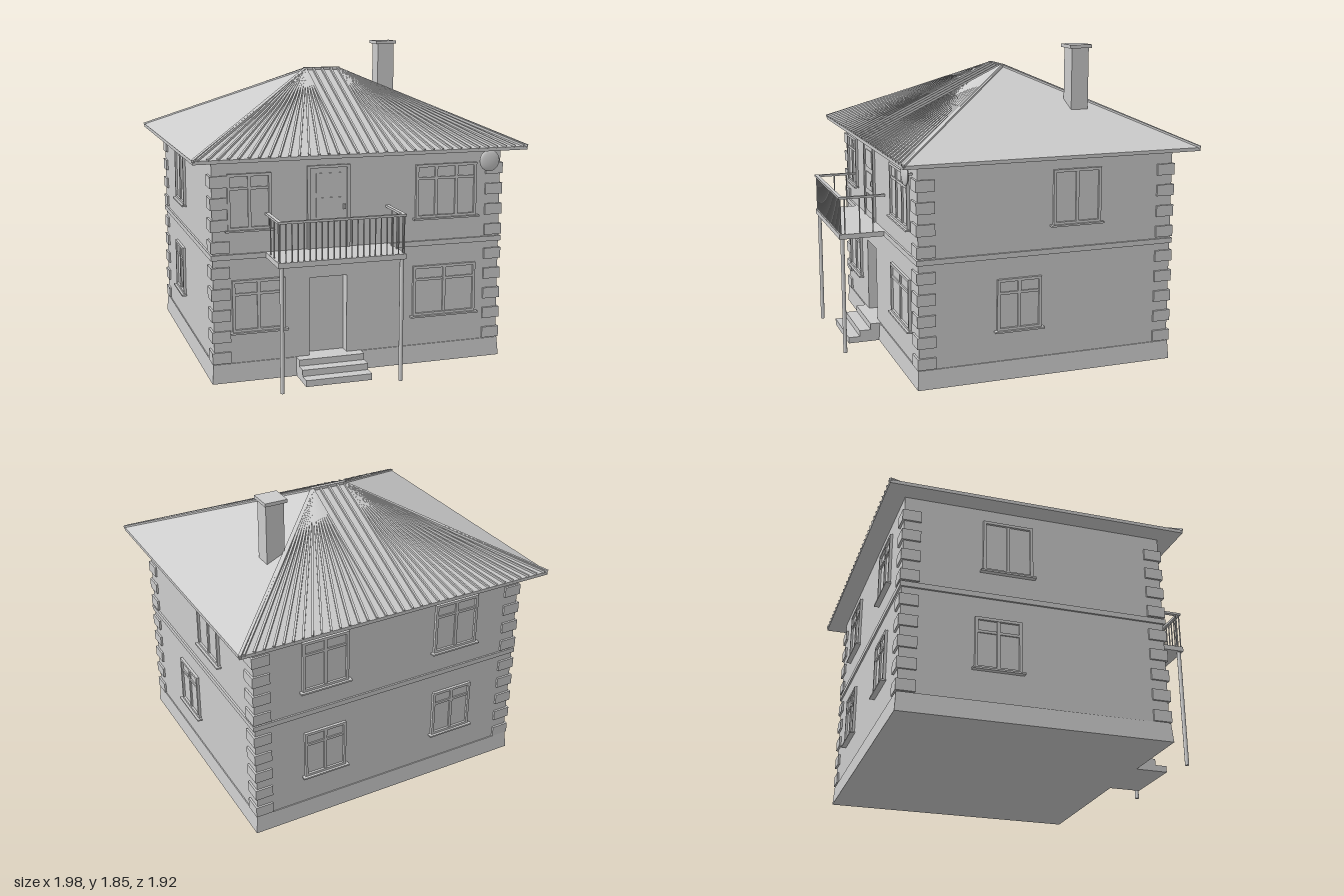
import * as THREE from 'three';

const plaster = new THREE.MeshStandardMaterial({ color: 0xcccccc });
plaster.name = 'light grey';

const W = 0.865, FRONT = 0.685, BACK = -0.84, RIDGE_Z = -0.08;

function add(parent, name, geometry) {
  const mesh = new THREE.Mesh(geometry, plaster);
  mesh.name = name;
  parent.add(mesh);
  return mesh;
}

// Box given by its limits on each axis
function box(parent, name, x0, x1, y0, y1, z0, z1) {
  const mesh = add(parent, name, new THREE.BoxGeometry(x1 - x0, y1 - y0, z1 - z0));
  mesh.position.set((x0 + x1) / 2, (y0 + y1) / 2, (z0 + z1) / 2);
  return mesh;
}

// Square bar running between two points
function bar(parent, name, a, b, w, h = w) {
  const from = new THREE.Vector3(...a), to = new THREE.Vector3(...b);
  const mesh = add(parent, name, new THREE.BoxGeometry(w, h, from.distanceTo(to)));
  mesh.position.copy(from).add(to).multiplyScalar(0.5);
  mesh.lookAt(to);
  return mesh;
}

// Cylinder standing upright
function post(parent, name, x, z, y0, y1, r, sides = 12) {
  const mesh = add(parent, name, new THREE.CylinderGeometry(r, r, y1 - y0, sides));
  mesh.position.set(x, (y0 + y1) / 2, z);
}

function group(parent, name) {
  const g = new THREE.Group();
  g.name = name;
  parent.add(g);
  return g;
}

// Window facing +z: frame, mullions, optional transom, recessed glass and sill
function makeWindow(parent, name, width, y0, y1, panes, transom) {
  const g = group(parent, name), h = width / 2, t = 0.016, d = 0.016;
  box(g, 'glass', -h, h, y0, y1, -0.01, 0.003);
  for (const s of [-1, 1]) {
    const x = s * (h - t / 2);
    box(g, 'frameSide', x - t / 2, x + t / 2, y0, y1, 0, d);
  }
  box(g, 'frameTop', -h + t, h - t, y1 - t, y1, 0, d);
  box(g, 'frameBottom', -h + t, h - t, y0, y0 + t, 0, d);
  for (let i = 1; i < panes; i++) {
    const x = -h + (width * i) / panes;
    box(g, 'mullion', x - 0.009, x + 0.009, y0 + t, y1 - t, 0, 0.012);
  }
  if (transom) box(g, 'transom', -h + t, h - t, y1 - 0.09, y1 - 0.075, 0, 0.011);
  box(g, 'sill', -h - 0.015, h + 0.015, y0 - 0.008, y0 + 0.002, -0.01, 0.03);
  return g;
}

function buildWalls(house) {
  const g = group(house, 'walls');
  box(g, 'core', -W, W, 0.1, 1.275, BACK, 0.61);
  // Front wall with the opening for the entrance
  const shape = new THREE.Shape();
  [[-W, 0.1], [W, 0.1], [W, 1.275], [-W, 1.275]].forEach(([x, y], i) =>
    i ? shape.lineTo(x, y) : shape.moveTo(x, y));
  const hole = new THREE.Path();
  hole.moveTo(-0.31, 0.11).lineTo(-0.31, 0.57).lineTo(-0.085, 0.57).lineTo(-0.085, 0.11).closePath();
  shape.holes.push(hole);
  add(g, 'frontWall', new THREE.ExtrudeGeometry(shape, { depth: FRONT - 0.61, bevelEnabled: false }))
    .position.z = 0.61;
  box(g, 'entranceDoor', -0.31, -0.085, 0.11, 0.57, 0.605, 0.616);
  // Plinth, slightly wider at the foot
  const plinth = new THREE.BoxGeometry(2 * W + 0.012, 0.11, FRONT - BACK + 0.012);
  const p = plinth.attributes.position;
  for (let i = 0; i < p.count; i++) {
    if (p.getY(i) > 0) continue;
    p.setX(i, p.getX(i) + Math.sign(p.getX(i)) * 0.009);
    p.setZ(i, p.getZ(i) + Math.sign(p.getZ(i)) * 0.007);
  }
  plinth.computeVertexNormals();
  add(g, 'plinth', plinth).position.set(0, 0.055, (FRONT + BACK) / 2);
  // Band between the storeys
  box(g, 'storeyBand', -W - 0.012, W + 0.012, 0.71, 0.74, BACK - 0.01, FRONT + 0.012);
  // Corner stones
  for (const sx of [-1, 1]) for (const front of [true, false]) {
    const z = front ? FRONT : BACK, sz = front ? 1 : -1;
    for (const [start, end] of [[0.115, 0.71], [0.75, 1.26]]) {
      for (let y = start; y + 0.06 < end; y += 0.122) {
        const x0 = sx * (W - 0.095), x1 = sx * (W + 0.012);
        const z0 = z - sz * 0.095, z1 = z + sz * 0.012;
        box(g, 'cornerStone', Math.min(x0, x1), Math.max(x0, x1), y, y + 0.065,
          Math.min(z0, z1), Math.max(z0, z1));
      }
    }
  }
}

function buildWindows(house) {
  const g = group(house, 'windows');
  const low = [0.29, 0.59], high = [0.875, 1.19];
  const place = (name, side, along, width, [y0, y1], panes, transom) => {
    const w = makeWindow(g, name, width, y0, y1, panes, transom);
    if (side === 'front') w.position.set(along, 0, FRONT);
    if (side === 'back') { w.position.set(along, 0, BACK); w.rotation.y = Math.PI; }
    if (side === 'left') { w.position.set(W, 0, along); w.rotation.y = Math.PI / 2; }
    if (side === 'right') { w.position.set(-W, 0, along); w.rotation.y = -Math.PI / 2; }
  };
  place('frontUpperWindow', 'front', -0.655, 0.25, high, 2, true);
  place('frontUpperWindow', 'front', 0.52, 0.38, high, 3, true);
  place('frontLowerWindow', 'front', -0.607, 0.305, low, 2, true);
  place('frontLowerWindow', 'front', 0.517, 0.395, low, 2, true);
  for (const x of [-0.43, 0.43]) {
    place('backUpperWindow', 'back', x, 0.29, high, 2, true);
    place('backLowerWindow', 'back', x, 0.265, low, 2, true);
  }
  for (const side of ['left', 'right']) {
    place('sideUpperWindow', side, -0.245, 0.29, high, 2, false);
    place('sideLowerWindow', side, side === 'left' ? 0.1 : -0.3, 0.265, low, 2, true);
  }
}

function buildRoof(house) {
  const g = group(house, 'roof');
  const X = 0.985, Z = 0.872, R = 0.105, E = 1.285, T = 1.695;
  box(g, 'eaves', -X, X, 1.265, E, RIDGE_Z - Z, RIDGE_Z + Z);
  // Hipped slopes
  const a = [-X, E, RIDGE_Z + Z], b = [X, E, RIDGE_Z + Z], c = [X, E, RIDGE_Z - Z], d = [-X, E, RIDGE_Z - Z];
  const l = [-R, T, RIDGE_Z], r = [R, T, RIDGE_Z];
  const faces = [a, b, r, a, r, l, c, d, l, c, l, r, b, c, r, d, a, l];
  const geo = new THREE.BufferGeometry();
  geo.setAttribute('position', new THREE.Float32BufferAttribute(faces.flat(), 3));
  geo.computeVertexNormals();
  add(g, 'slopes', geo);
  // Seams fanning from the ridge on the front and back
  for (const s of [-1, 1]) {
    for (let i = -17; i <= 17; i++) {
      const x = i * 0.0565;
      const top = THREE.MathUtils.clamp(x, -R, R);
      bar(g, 'seam', [x, E + 0.003, RIDGE_Z + s * Z], [top, T + 0.002, RIDGE_Z + s * 0.01], 0.012, 0.014);
    }
  }
  // Hip and ridge caps
  for (const corner of [a, d]) bar(g, 'hipCap', corner, l, 0.016);
  for (const corner of [b, c]) bar(g, 'hipCap', corner, r, 0.016);
  bar(g, 'ridgeCap', [-R - 0.01, T, RIDGE_Z], [R + 0.01, T, RIDGE_Z], 0.022);
}

function buildChimney(house) {
  const g = group(house, 'chimney');
  box(g, 'stack', 0.465, 0.575, 1.4, 1.83, -0.435, -0.33);
  box(g, 'cap', 0.45, 0.585, 1.83, 1.85, -0.45, -0.315);
}

function buildBalcony(house) {
  const g = group(house, 'balcony');
  const x0 = -0.565, x1 = 0.17, z = 0.955;
  box(g, 'floor', x0, x1, 0.71, 0.74, FRONT, 0.965);
  box(g, 'frontRail', x0, x1, 0.952, 0.965, z - 0.012, z + 0.01);
  for (const x of [x0 + 0.011, x1 - 0.011]) {
    box(g, 'sideRail', x - 0.011, x + 0.011, 0.952, 0.965, FRONT, z - 0.012);
    for (const zz of [0.93, 0.84, 0.76]) post(g, 'sideBaluster', x, zz, 0.74, 0.955, 0.004, 8);
  }
  const n = 21;
  for (let i = 0; i <= n; i++)
    post(g, 'baluster', x0 + 0.011 + ((x1 - x0 - 0.022) * i) / n, z, 0.74, 0.955, 0.004, 8);
  for (const x of [-0.542, 0.15]) post(g, 'supportPost', x, 0.945, 0, 0.71, 0.012);
}

function buildBalconyDoor(house) {
  const g = group(house, 'balconyDoor');
  const z = FRONT;
  box(g, 'leaf', -0.305, -0.087, 0.74, 1.2, z - 0.01, z + 0.006);
  box(g, 'frameSide', -0.322, -0.305, 0.74, 1.215, z - 0.01, z + 0.014);
  box(g, 'frameSide', -0.087, -0.07, 0.74, 1.215, z - 0.01, z + 0.014);
  box(g, 'frameTop', -0.305, -0.087, 1.2, 1.215, z - 0.01, z + 0.014);
  for (const y of [0.78, 0.92, 1.06])
    box(g, 'panel', -0.27, -0.122, y, y + 0.11, z, z + 0.01);
  box(g, 'handle', -0.112, -0.1, 0.96, 0.99, z, z + 0.022);
}

export function createModel() {
  const house = new THREE.Group();
  house.name = 'house';
  buildWalls(house);
  buildWindows(house);
  buildRoof(house);
  buildChimney(house);
  buildBalcony(house);
  buildBalconyDoor(house);
  // Entrance steps
  [0.89, 0.82, 0.75].forEach((z, i) =>
    box(house, 'step', -0.39, 0, i * 0.037, (i + 1) * 0.037, FRONT - 0.02, z));
  // Dish on the front wall
  const dish = add(house, 'dish', new THREE.SphereGeometry(0.063, 24, 16));
  dish.scale.z = 0.24;
  dish.position.set(0.775, 1.2, 0.728);
  bar(house, 'dishBracket', [0.775, 1.2, FRONT - 0.01], [0.775, 1.2, 0.725], 0.012);
  return house;
}
